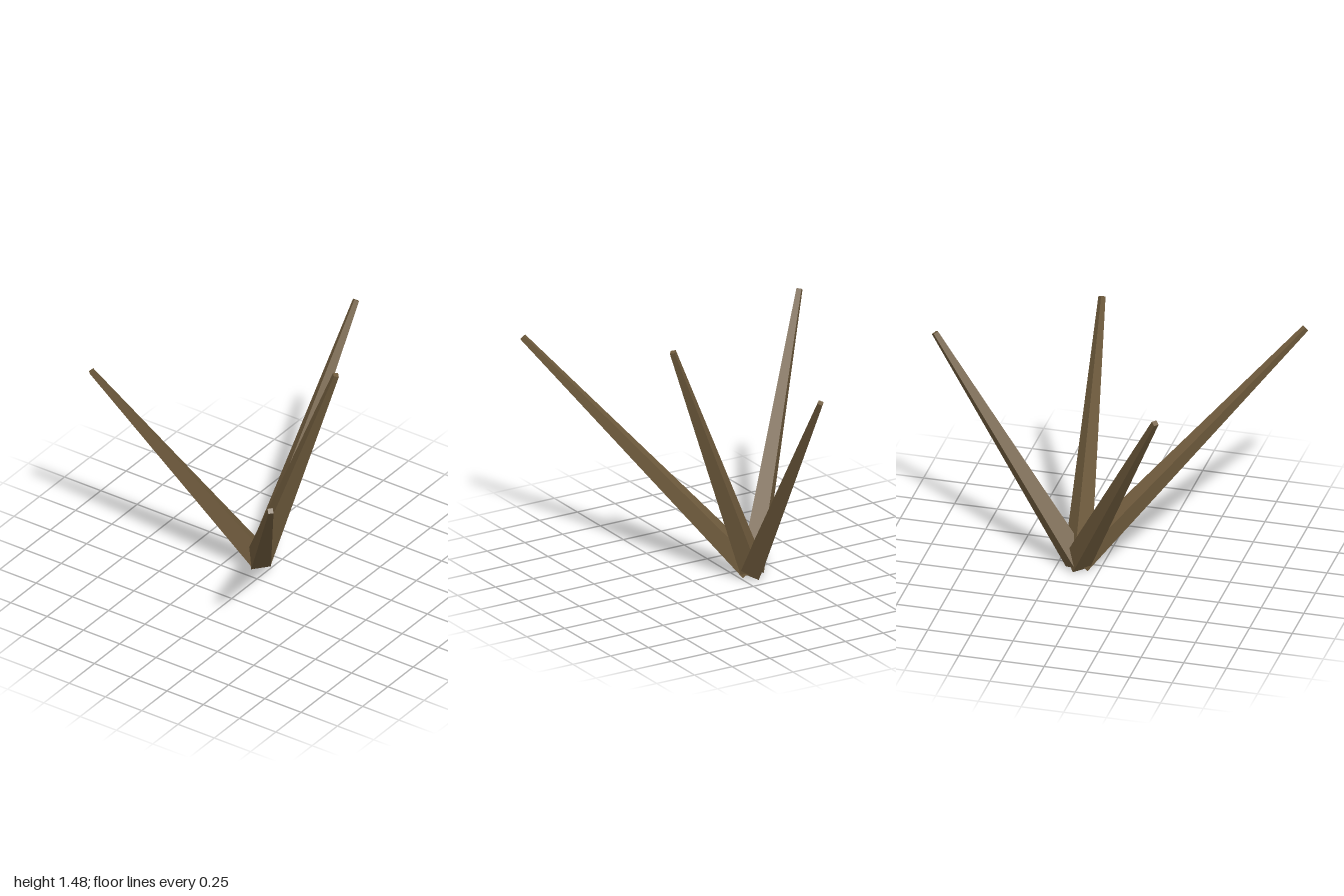
import * as THREE from 'three';

export function createModel() {
  const model = new THREE.Group();
  model.name = 'branchCluster';

  const bark = new THREE.MeshStandardMaterial({ color: 0x6e5a3c });
  bark.name = 'barkBrown';
  bark.flatShading = true;

  // All branches fan out from one shared root point
  const root = new THREE.Vector3(-0.07, 0.05, -0.125);
  const up = new THREE.Vector3(0, 1, 0);
  const tips = {
    rightBranch: [-0.777, 1.391, 0.522],
    backBranch: [0, 1.36, -0.98],
    leftBranch: [0.457, 1.477, -0.125],
    frontBranch: [0.776, 1.264, 0.981],
  };

  // Tapered four-sided branch from the root to its tip
  for (const [name, point] of Object.entries(tips)) {
    const tip = new THREE.Vector3(...point);
    const axis = tip.clone().sub(root);
    const branch = new THREE.Mesh(
      new THREE.CylinderGeometry(0.021, 0.08, axis.length(), 4), bark);
    branch.name = name;
    branch.position.copy(root).add(tip).multiplyScalar(0.5);
    branch.quaternion.setFromUnitVectors(up, axis.normalize());
    model.add(branch);
  }
  return model;
}
